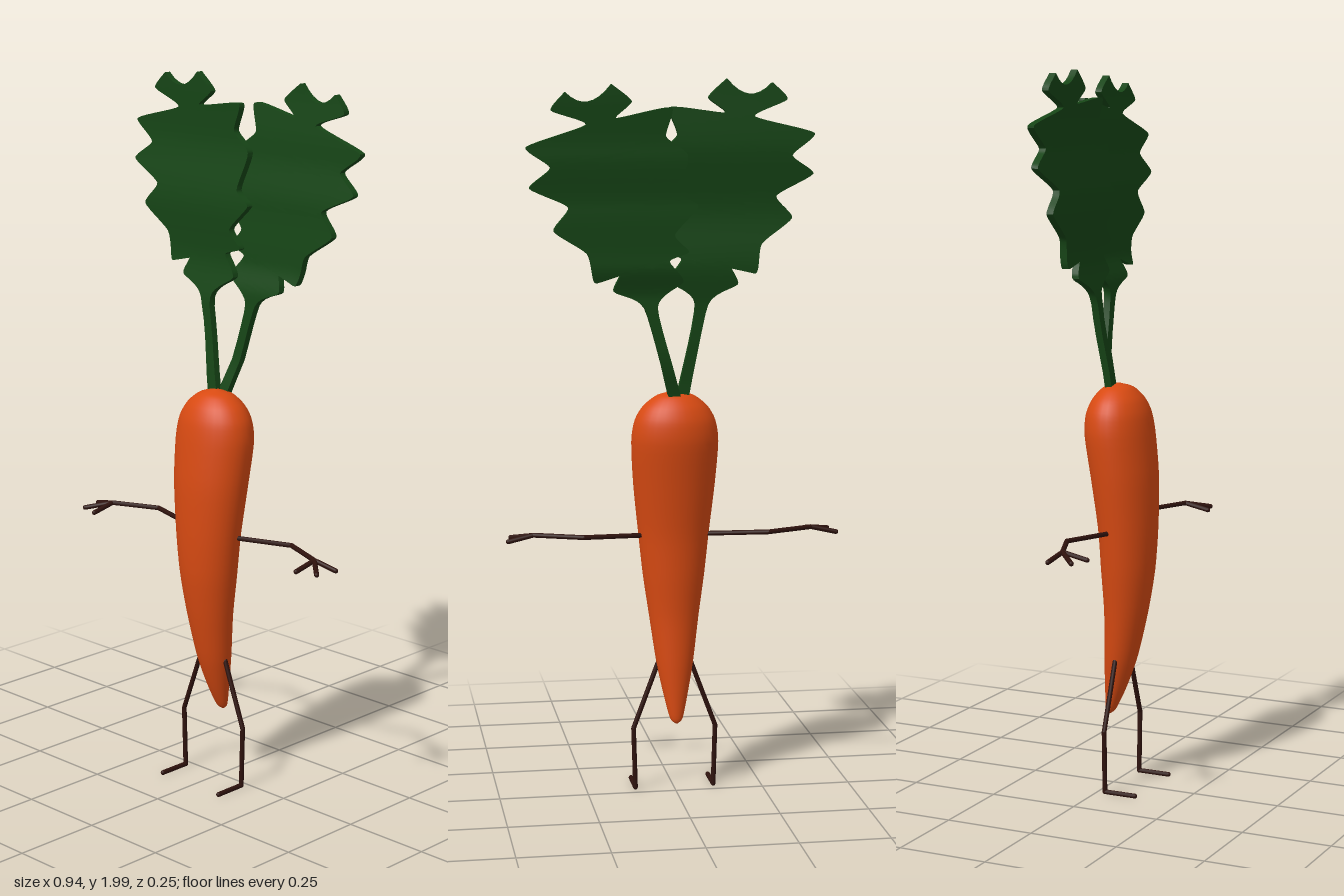
import * as THREE from 'three';
import { mergeGeometries, toCreasedNormals } from 'three/addons/utils/BufferGeometryUtils.js';

const V = (x, y, z = 0) => new THREE.Vector3(x, y, z);
const paint = (color, side = THREE.FrontSide) => new THREE.MeshStandardMaterial({ color, side });

// Joins closed loops of points, listed bottom to top, into a skin
function loft(rows) {
  const n = rows[0].length, index = [];
  for (let i = 0; i < rows.length - 1; i++) {
    for (let j = 0; j < n; j++) {
      const a = i * n + j, b = i * n + (j + 1) % n;
      index.push(a, b, a + n, b, b + n, a + n);
    }
  }
  const geo = new THREE.BufferGeometry().setFromPoints(rows.flat());
  geo.setIndex(index);
  geo.computeVertexNormals();
  return geo;
}

// Smooth value of a curve given as [y, value] pairs
function along(keys, y) {
  let i = 0;
  while (i < keys.length - 2 && y > keys[i + 1][0]) i++;
  const [y0, v0] = keys[i], [y1, v1] = keys[i + 1];
  return THREE.MathUtils.lerp(v0, v1, THREE.MathUtils.smoothstep(y, y0, y1));
}

// Body rings: y, half width, z centre, half depth
function bodyGeometry() {
  const keys = [
    [0.2, 0.003, -0.012, 0.003], [0.215, 0.018, -0.007, 0.014], [0.28, 0.034, 0.008, 0.03],
    [0.37, 0.052, 0.024, 0.046], [0.5, 0.07, 0.04, 0.06], [0.62, 0.087, 0.046, 0.073],
    [0.74, 0.1, 0.046, 0.08], [0.88, 0.115, 0.036, 0.089], [1.0, 0.122, 0.021, 0.092],
    [1.06, 0.113, 0.017, 0.085], [1.1, 0.09, 0.016, 0.068], [1.13, 0.052, 0.015, 0.04], [1.143, 0.003, 0.015, 0.003],
  ];
  const width = new THREE.CatmullRomCurve3(keys.map(([y, rx]) => V(rx, y)), false, 'catmullrom', 0.4);
  const depth = new THREE.CatmullRomCurve3(keys.map(([y, , z, rz]) => V(rz, y, z)), false, 'catmullrom', 0.4);
  const rows = [];
  for (let i = 0; i <= 48; i++) {
    const w = width.getPoint(i / 48), d = depth.getPoint(i / 48);
    rows.push(Array.from({ length: 32 }, (_, j) => {
      const a = j / 32 * Math.PI * 2;
      return V(Math.cos(a) * w.x, w.y, d.z - Math.sin(a) * d.x);
    }));
  }
  return loft(rows);
}

// Two edges of a lobed leaf with its stem, from the base to the tip
const OUTER = [
  [-0.03, 1.1], [-0.085, 1.385], [-0.165, 1.44], [-0.145, 1.49], [-0.215, 1.47], [-0.23, 1.55], [-0.315, 1.62],
  [-0.27, 1.68], [-0.37, 1.74], [-0.31, 1.79], [-0.37, 1.85], [-0.205, 1.895], [-0.295, 1.94], [-0.255, 1.985],
];
const INNER = [
  [0.004, 1.1], [-0.05, 1.385], [0.025, 1.45], [-0.01, 1.51], [0.045, 1.53], [0.01, 1.58], [0.08, 1.65],
  [0.035, 1.69], [0.06, 1.79], [0.005, 1.845], [0.025, 1.92], [-0.125, 1.905], [-0.08, 1.945], [-0.13, 1.995],
];

// Leaf plate, mirrored and leaning as asked, waving in z with height
function leafGeometry(mirror, lean, dx, wave) {
  const edge = (pts) => new THREE.CatmullRomCurve3(pts.map(([x, y]) => {
    const px = x * mirror, py = y - 1.14;
    return V(px * Math.cos(lean) + py * Math.sin(lean) + dx, 1.14 + py * Math.cos(lean) - px * Math.sin(lean));
  }), false, 'catmullrom', 0.3);
  const curves = [edge(OUTER), edge(INNER)];
  if (mirror < 0) curves.reverse();
  const rows = [], steps = 91, across = 8, half = 0.01;
  for (let i = 0; i <= steps; i++) {
    const t = i / steps, a = curves[0].getPoint(t), b = curves[1].getPoint(t);
    const notch = 0.035 * Math.max(0, (t - 0.92) / 0.08);
    const front = [], back = [];
    for (let j = 0; j <= across; j++) {
      const u = j / across, p = a.clone().lerp(b, u);
      p.y -= notch * 4 * u * (1 - u);
      p.z = along(wave, p.y);
      front.push(V(p.x, p.y, p.z + half));
      back.unshift(V(p.x, p.y, p.z - half));
    }
    rows.push([...front, ...back]);
  }
  // Close the tip by drawing the last loop onto its middle plane
  rows.push(rows[steps].map((p) => V(p.x, p.y, along(wave, p.y))));
  return toCreasedNormals(loft(rows), 0.7);
}

// Thin rods with round joints through a list of points
function rods(points, r = 0.0068) {
  const parts = [];
  points.forEach((p, i) => {
    parts.push(new THREE.SphereGeometry(r, 10, 8).translate(p.x, p.y, p.z));
    if (!i) return;
    const q = points[i - 1], d = p.clone().sub(q), m = p.clone().add(q).multiplyScalar(0.5);
    const turn = new THREE.Quaternion().setFromUnitVectors(V(0, 1, 0), d.clone().normalize());
    parts.push(new THREE.CylinderGeometry(r, r, d.length(), 10).applyQuaternion(turn).translate(m.x, m.y, m.z));
  });
  return mergeGeometries(parts);
}

export function createModel() {
  const model = new THREE.Group();
  const add = (name, geo, mat) => {
    const mesh = new THREE.Mesh(geo, mat);
    mesh.name = name;
    model.add(mesh);
  };
  const orange = paint(0xd84a12), green = paint(0x164516, THREE.DoubleSide), brown = paint(0x2e120d);

  add('carrotBody', bodyGeometry(), orange);

  // Leaves
  add('rightLeaf', leafGeometry(1, 0, 0, [
    [1.1, 0.003], [1.35, -0.018], [1.5, -0.04], [1.63, -0.032], [1.83, -0.058], [2, -0.053],
  ]), green);
  add('leftLeaf', leafGeometry(-1, 0.087, -0.012, [
    [1.1, -0.008], [1.25, -0.042], [1.4, -0.048], [1.5, -0.072], [1.65, -0.08], [1.8, -0.1], [1.98, -0.116],
  ]), green);

  // Arms, hands and legs
  for (const [side, s] of [['left', 1], ['right', -1]]) {
    const wrist = V(s * 0.395, 0.742, 0.043);
    const fingers = [V(s * 0.465, 0.727, 0.036), V(s * 0.453, 0.727, 0.098), V(s * 0.395, 0.727, 0.115)];
    add(side + 'Arm', rods([V(s * 0.08, 0.735, 0.03), V(s * 0.26, 0.742, -0.013), wrist]), brown);
    add(side + 'Hand', mergeGeometries(fingers.map((f) => rods([wrist, f]))), brown);
    add(side + 'Leg', rods([
      V(s * 0.048, 0.365, 0.028), V(s * 0.117, 0.18, 0.028), V(s * 0.112, 0.007, 0.028), V(s * 0.112, 0.007, 0.12),
    ]), brown);
  }
  return model;
}
